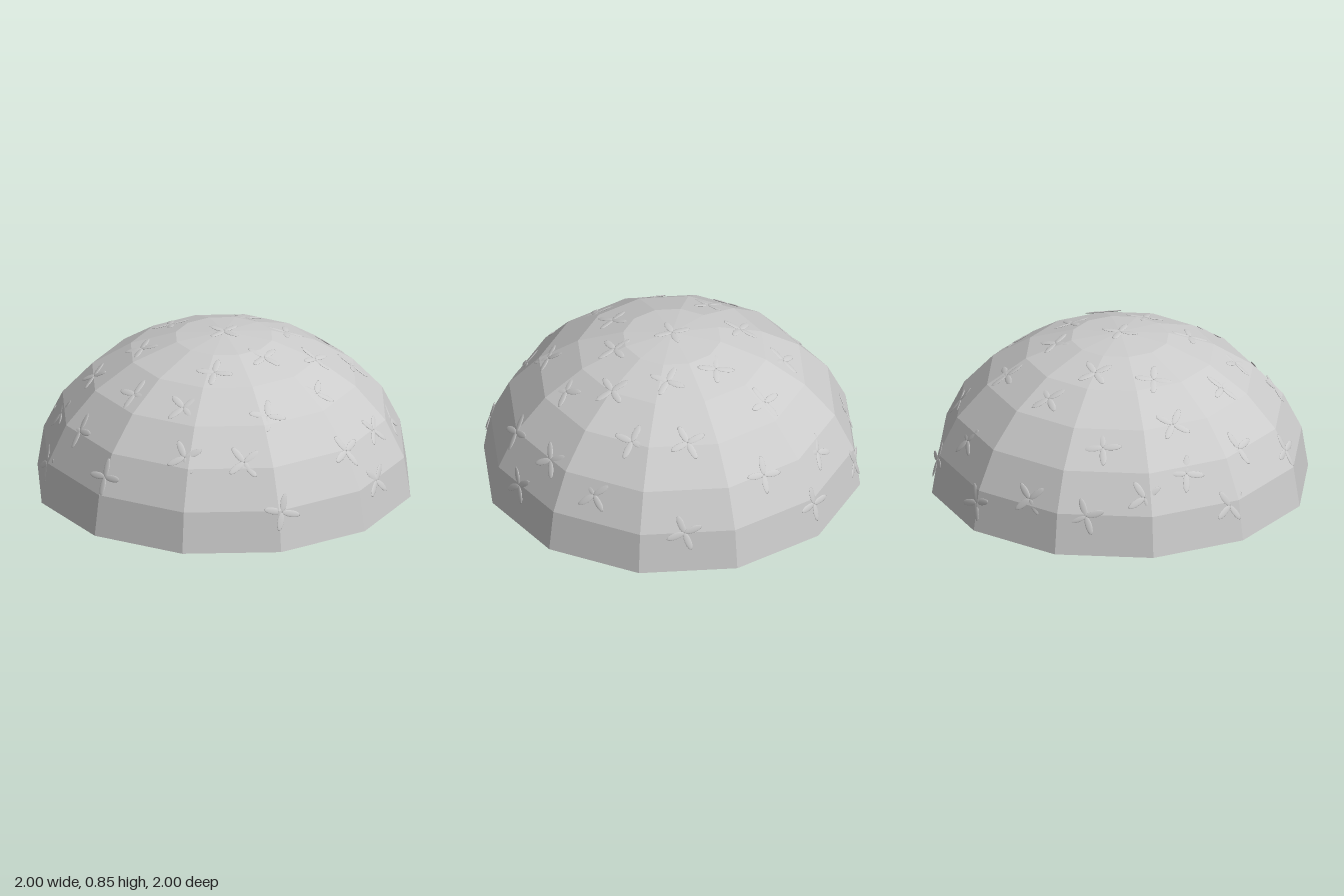
import * as THREE from 'three';

const SIDES = 12, RINGS = 6, HEIGHT = 0.85;
const rad = THREE.MathUtils.degToRad;

// Flowers: azimuth from +x towards +z, height, spin (degrees)
const FLOWERS = [
  [0, 0.85, 0],
  [95, 0.8, 15], [270, 0.778, 45], [-23, 0.79, 52], [24, 0.785, 69], [226, 0.755, 66], [145, 0.776, 85],
  [290, 0.67, 55], [257, 0.525, 7], [226, 0.603, 50], [188, 0.655, 8], [158, 0.657, 53], [117, 0.63, 72],
  [85, 0.655, 35], [60, 0.74, 65], [38, 0.605, 78], [13, 0.61, 23], [-33, 0.66, 87],
  [-42, 0.37, 60], [281, 0.25, 45], [261, 0.21, 20], [242, 0.31, 30], [226, 0.39, 76], [202, 0.435, 12],
  [213, 0.2, 30], [180, 0.31, 5], [152, 0.47, 30], [130, 0.45, 35], [90, 0.42, 20], [69, 0.42, 35],
  [48, 0.35, 45], [16, 0.22, 20], [-15, 0.42, 80], [-30, 0.19, 0], [-59, 0.15, 20], [79, 0.21, 40], [119, 0.21, 75],
];

// Point on the faceted dome at an azimuth and height
function domePoint(azimuth, y) {
  const step = Math.PI / 2 / RINGS;
  const k = Math.min(RINGS - 1, Math.floor(Math.asin(Math.min(1, y / HEIGHT)) / step));
  const y0 = HEIGHT * Math.sin(k * step), y1 = HEIGHT * Math.sin((k + 1) * step);
  const ring = THREE.MathUtils.lerp(Math.cos(k * step), Math.cos((k + 1) * step), (y - y0) / (y1 - y0));
  const sector = 2 * Math.PI / SIDES;
  const offset = azimuth - (Math.floor(azimuth / sector) + 0.5) * sector;
  const r = ring * Math.cos(sector / 2) / Math.cos(offset);
  return new THREE.Vector3(r * Math.cos(azimuth), y, r * Math.sin(azimuth));
}

export function createModel() {
  const model = new THREE.Group();
  model.name = 'floweredDome';
  const flat = new THREE.MeshStandardMaterial({ color: 0xcccccc, flatShading: true });
  const smooth = new THREE.MeshStandardMaterial({ color: 0xcccccc });

  // Faceted dome
  const domeGeometry = new THREE.SphereGeometry(1, SIDES, RINGS, 0, Math.PI * 2, 0, Math.PI / 2);
  domeGeometry.scale(1, HEIGHT, 1);
  const dome = new THREE.Mesh(domeGeometry, flat);
  dome.name = 'dome';
  model.add(dome);

  // Closed underside
  const base = new THREE.Mesh(new THREE.CircleGeometry(1, SIDES).rotateX(Math.PI / 2), flat);
  base.name = 'base';
  model.add(base);

  // Thin oval petal reaching out from the flower centre along x
  const petalGeometry = new THREE.SphereGeometry(1, 16, 8);
  petalGeometry.scale(0.05, 0.018, 0.004).translate(0.05, 0, 0);

  const up = new THREE.Vector3(0, 1, 0);
  for (const [azimuth, y, spin] of FLOWERS) {
    const a = rad(azimuth);
    const flower = new THREE.Group();
    flower.name = 'flower';
    flower.position.copy(domePoint(a, y));

    // Local x runs around the dome, y towards the top, z outwards
    const normal = flower.position.clone();
    normal.y /= HEIGHT * HEIGHT;
    normal.normalize();
    const side = y >= HEIGHT ? new THREE.Vector3(1, 0, 0) : up.clone().cross(normal).normalize();
    const rise = normal.clone().cross(side);
    flower.quaternion.setFromRotationMatrix(new THREE.Matrix4().makeBasis(side, rise, normal));
    flower.rotateZ(rad(spin));

    for (let i = 0; i < 4; i++) {
      const petal = new THREE.Mesh(petalGeometry, smooth);
      petal.name = 'petal';
      petal.rotation.z = i * Math.PI / 2;
      flower.add(petal);
    }
    model.add(flower);
  }
  return model;
}
